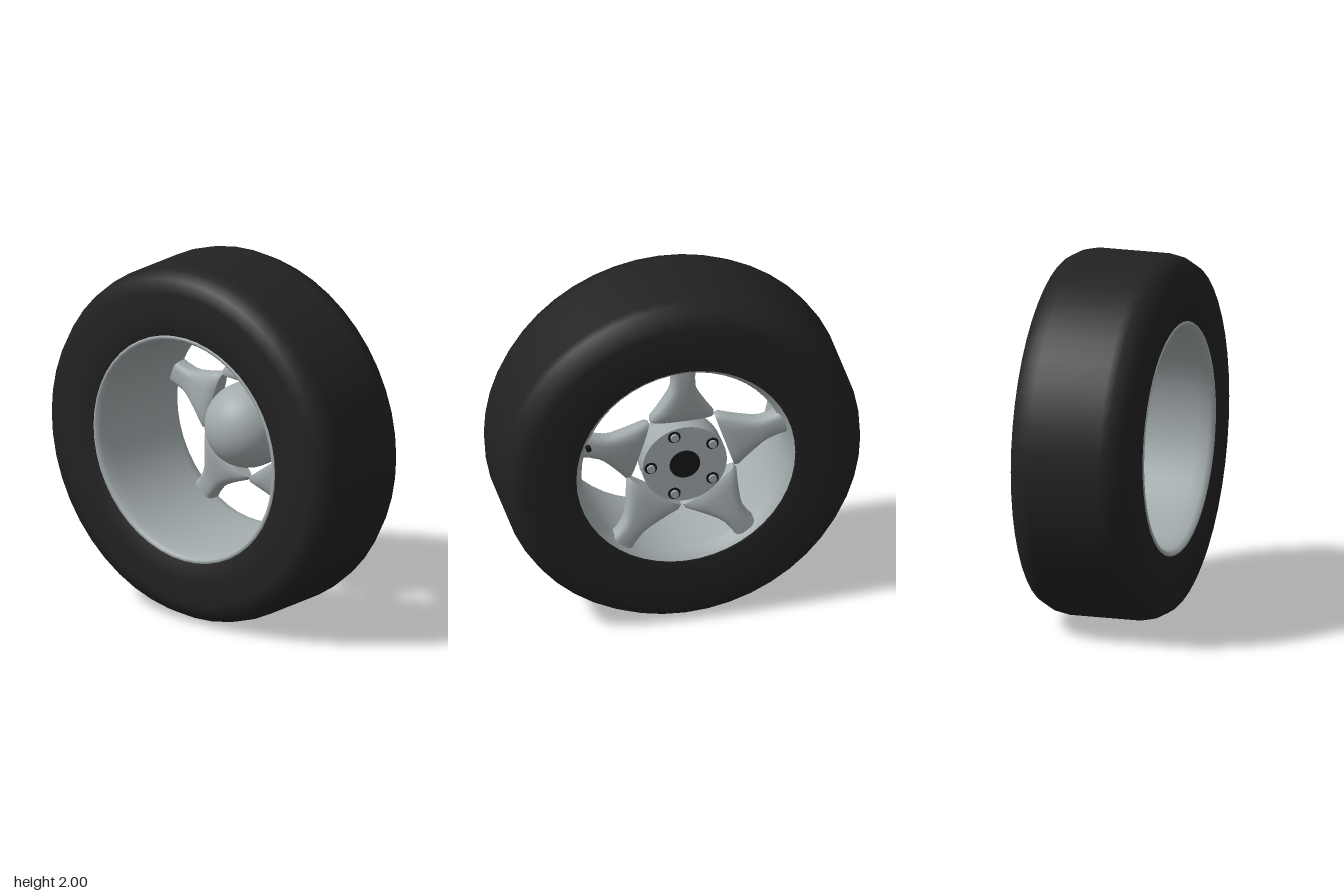
import * as THREE from 'three';

const metal = new THREE.MeshStandardMaterial({ color: 0xa3abad, side: THREE.DoubleSide });
metal.name = 'silverMetal';
const rubber = new THREE.MeshStandardMaterial({ color: 0x222222 });
rubber.name = 'blackRubber';
const dark = new THREE.MeshStandardMaterial({ color: 0x161616 });
dark.name = 'darkTrim';

function add(parent, name, geometry, material, x = 0, y = 0, z = 0) {
  const mesh = new THREE.Mesh(geometry, material);
  mesh.name = name;
  mesh.position.set(x, y, z);
  parent.add(mesh);
  return mesh;
}

// Revolve [radius, z] points around the axle
function revolve(points) {
  return new THREE.LatheGeometry(points.map(([r, z]) => new THREE.Vector2(r, z)), 48).rotateX(Math.PI / 2);
}

// Cylinder lying along the axle
function disc(radius, depth, sides = 32) {
  return new THREE.CylinderGeometry(radius, radius, depth, sides).rotateX(Math.PI / 2);
}

// Spoke pointing up: rounded cross-sections from the hub out to the rim
function spokeGeometry() {
  // [distance from axle, half width, z centre, half depth]
  const rows = [
    [0.25, 0.178, -0.22, 0.045], [0.275, 0.178, -0.222, 0.06], [0.32, 0.148, -0.23, 0.062],
    [0.38, 0.112, -0.24, 0.06], [0.44, 0.08, -0.25, 0.056], [0.48, 0.068, -0.254, 0.055],
    [0.54, 0.065, -0.256, 0.055], [0.588, 0.072, -0.256, 0.055],
  ];
  const n = 24, positions = [], index = [];
  const soft = (v) => Math.sign(v) * Math.pow(Math.abs(v), 0.65);
  const ring = ([r, w, z, d]) => {
    for (let i = 0; i < n; i++) {
      const t = (i / n) * Math.PI * 2;
      positions.push(w * soft(Math.cos(t)), r, z + d * soft(Math.sin(t)));
    }
  };
  rows.forEach(ring);
  for (let j = 0; j < rows.length - 1; j++) {
    for (let i = 0; i < n; i++) {
      const a = j * n + i, b = j * n + ((i + 1) % n), c = a + n, d = b + n;
      index.push(a, c, b, b, c, d);
    }
  }
  // Flat inner end
  const start = positions.length / 3;
  ring(rows[0]);
  positions.push(0, rows[0][0], rows[0][2]);
  for (let i = 0; i < n; i++) index.push(start + n, start + i, start + ((i + 1) % n));
  const g = new THREE.BufferGeometry();
  g.setAttribute('position', new THREE.Float32BufferAttribute(positions, 3));
  g.setIndex(index);
  g.computeVertexNormals();
  return g;
}

export function createModel() {
  const model = new THREE.Group();
  model.name = 'wheel';
  const wheel = new THREE.Group();
  wheel.name = 'wheelAssembly';
  wheel.position.y = 1;
  model.add(wheel);

  // Tyre: flat sidewalls, rounded shoulders, flat tread
  add(wheel, 'tyre', revolve([
    [0.607, -0.325], [0.62, -0.335], [0.75, -0.337], [0.88, -0.335], [0.955, -0.315], [0.99, -0.25], [1, -0.2],
    [1, 0.2], [0.99, 0.25], [0.955, 0.315], [0.88, 0.335], [0.75, 0.337], [0.64, 0.335], [0.63, 0.3],
  ]), rubber);

  // Deep rim barrel with a rolled lip on the front
  add(wheel, 'rimBarrel', revolve([
    [0.645, 0.33], [0.637, 0.342], [0.622, 0.338], [0.608, 0.315], [0.597, 0.25], [0.587, 0.1],
    [0.577, -0.1], [0.567, -0.24], [0.57, -0.28], [0.59, -0.31], [0.61, -0.33],
  ]), metal);

  // Five spokes
  const spoke = spokeGeometry();
  for (let i = 0; i < 5; i++) {
    add(wheel, 'spoke', spoke, metal).rotation.z = (i * Math.PI * 2) / 5;
  }

  // Hub: flat mounting face at the back, dome at the front
  add(wheel, 'hubPlate', disc(0.235, 0.105, 40), metal, 0, 0, -0.2525);
  const dome = new THREE.SphereGeometry(0.235, 40, 16, 0, Math.PI * 2, 0, Math.PI / 2).rotateX(Math.PI / 2);
  add(wheel, 'hubDome', dome, metal, 0, 0, -0.2);
  add(wheel, 'centreBore', disc(0.085, 0.008), dark, 0, 0, -0.306);

  // Wheel bolts in dark seats
  for (let i = 0; i < 5; i++) {
    const a = (i * Math.PI * 2) / 5;
    const x = 0.19 * Math.cos(a), y = 0.19 * Math.sin(a);
    add(wheel, 'boltSeat', disc(0.035, 0.006, 20), dark, x, y, -0.306);
    add(wheel, 'bolt', disc(0.023, 0.026, 12), metal, x, y, -0.31);
  }

  // Valve stem beside one spoke
  const va = 0.34;
  add(wheel, 'valve', disc(0.015, 0.05, 12), dark, 0.575 * Math.cos(va), 0.575 * Math.sin(va), -0.315);

  return model;
}
